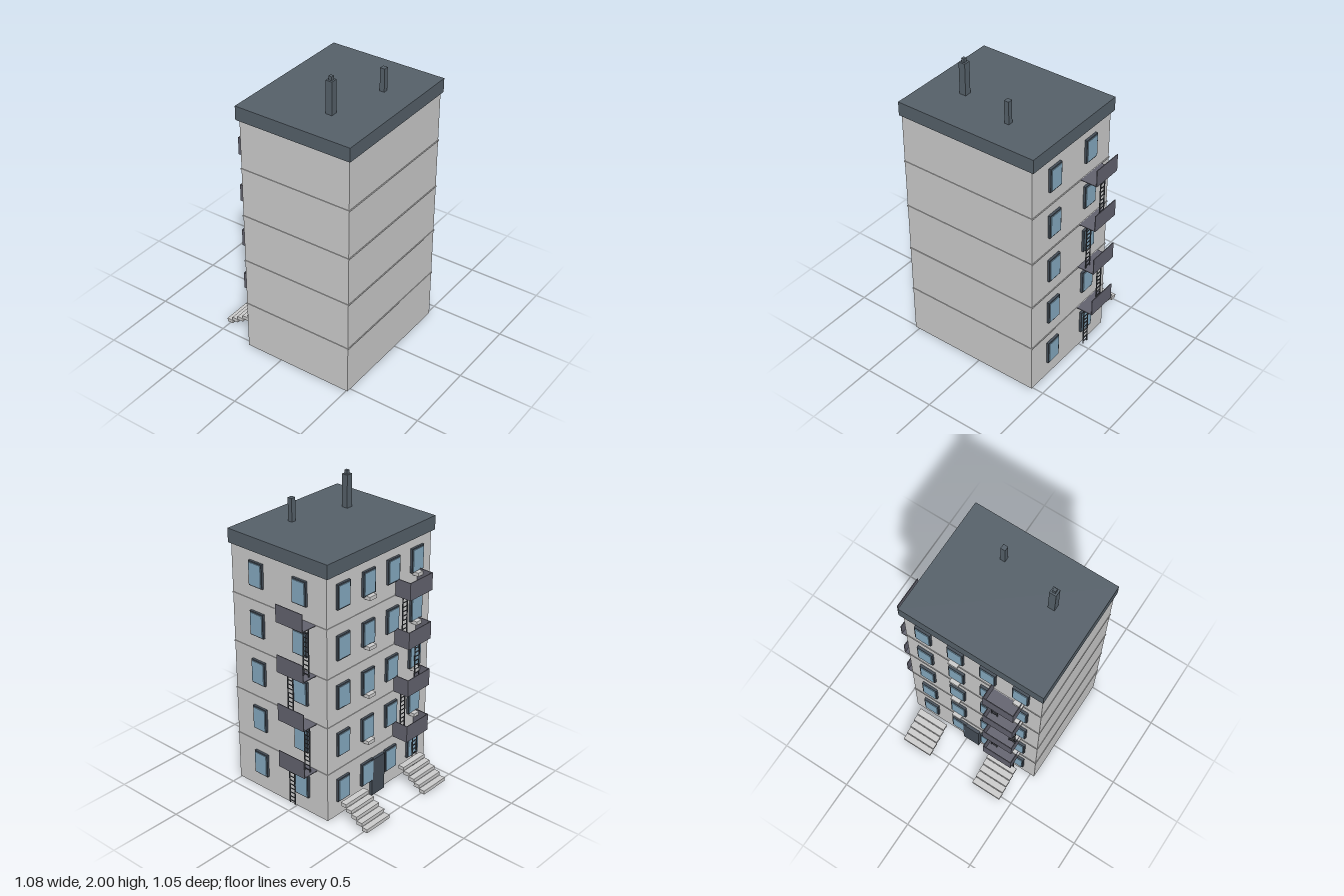
import * as THREE from 'three';

const mat = (color) => new THREE.MeshStandardMaterial({ color, flatShading: true });

export function createModel() {
  const model = new THREE.Group();
  model.name = 'apartmentBlock';
  const wall = mat(0xcccccc), roofMat = mat(0x556069), frameMat = mat(0x444d57);
  const glass = mat(0x85a9c0), balconyMat = mat(0x62626e), metal = mat(0x44484e);

  // Box given by its min and max on each axis
  function box(parent, name, m, x0, x1, y0, y1, z0, z1) {
    const mesh = new THREE.Mesh(new THREE.BoxGeometry(x1 - x0, y1 - y0, z1 - z0), m);
    mesh.position.set((x0 + x1) / 2, (y0 + y1) / 2, (z0 + z1) / 2);
    mesh.name = name;
    parent.add(mesh);
    return mesh;
  }

  const X0 = -0.53, X1 = 0.42, Z0 = -0.26, Z1 = 0.51;
  const FLOORS = 5, H = 0.3335;

  // Main block, floor bands and roof slab
  box(model, 'walls', wall, X0, X1, 0, 1.67, Z0, Z1);
  for (let i = 1; i < FLOORS; i++) {
    box(model, 'floorBand', wall, X0 - 0.004, X1 + 0.004, i * H - 0.002, i * H + 0.007, Z0 - 0.004, Z1 + 0.004);
  }
  box(model, 'roof', roofMat, -0.542, 0.436, 1.668, 1.76, -0.281, 0.521);

  // Chimneys
  box(model, 'chimney', roofMat, -0.313, -0.268, 1.76, 1.975, 0.193, 0.237);
  box(model, 'chimneyCap', roofMat, -0.301, -0.28, 1.975, 2, 0.204, 0.226);
  box(model, 'smallChimney', roofMat, 0.086, 0.118, 1.76, 1.912, 0.294, 0.326);

  // A facade frame: local x runs along the wall, local +z points outwards
  function facade(name, x, z, turn) {
    const g = new THREE.Group();
    g.name = name;
    g.position.set(x, 0, z);
    g.rotation.y = turn;
    model.add(g);
    return g;
  }
  const side = facade('sideFacade', X1, 0, Math.PI / 2); // local x = -z
  const back = facade('backFacade', 0, Z0, Math.PI); // local x = -x

  // Window: dark frame with a pane set on its face
  function addWindow(parent, u, floor) {
    const y = 0.19 + floor * 0.3325;
    const g = new THREE.Group();
    g.name = 'window';
    g.position.set(u, y, 0);
    parent.add(g);
    box(g, 'windowFrame', frameMat, -0.055, 0.055, -0.081, 0.081, -0.005, 0.016);
    box(g, 'windowPane', glass, -0.047, 0.047, -0.072, 0.072, 0, 0.021);
  }
  for (let f = 0; f < FLOORS; f++) {
    for (const u of [-0.3, 0.055]) addWindow(side, u, f);
    for (const u of [0.39, 0.165, -0.06, -0.285]) addWindow(back, u, f);
  }

  // Back door
  box(back, 'door', frameMat, -0.025, 0.097, 0, 0.265, -0.005, 0.021);

  // Small boxes under two columns of back windows
  for (let f = 1; f < FLOORS; f++) {
    for (const u of [0.39, -0.06]) {
      const y = 0.105 + f * 0.3325;
      box(back, 'airConditioner', wall, u - 0.032, u + 0.032, y - 0.016, y + 0.008, 0, 0.046);
    }
  }

  // Ladder with two rails and evenly spaced rungs
  function addLadder(parent, u, y0, y1) {
    const g = new THREE.Group();
    g.name = 'ladder';
    parent.add(g);
    for (const s of [-1, 1]) {
      box(g, 'ladderRail', metal, u + s * 0.021 - 0.003, u + s * 0.021 + 0.003, y0, y1, 0.043, 0.049);
    }
    for (let y = y0 + 0.02; y < y1; y += 0.03) {
      box(g, 'ladderRung', metal, u - 0.021, u + 0.021, y - 0.0025, y + 0.0025, 0.0435, 0.0485);
    }
  }

  // Balcony stack with a ladder leading up to each platform
  function addBalconies(parent, u, ends) {
    const w = 0.1065, d = 0.118, t = 0.005;
    for (let f = 1; f < FLOORS; f++) {
      const y = f * H + 0.002;
      const g = new THREE.Group();
      g.name = 'balcony';
      parent.add(g);
      box(g, 'balconyFloor', balconyMat, u - w, u + w, y, y + t, 0, d);
      box(g, 'balconyFront', balconyMat, u - w, u + w, y, y + 0.117, d - t, d);
      if (ends) {
        for (const s of [-1, 1]) {
          const e = u + s * (w - t / 2);
          box(g, 'balconyEnd', balconyMat, e - t / 2, e + t / 2, y, y + 0.117, 0, d - t);
        }
      }
      addLadder(parent, u + (f % 2 ? -0.066 : 0.066) * (ends ? -1 : 1), f === 1 ? 0.04 : y - H, y);
    }
  }
  addBalconies(side, 0.07, false);
  addBalconies(back, 0.303, true);

  // Two flights of separate steps behind the building
  for (const x of [-0.313, 0.247]) {
    for (let i = 0; i < 5; i++) {
      const z = -0.525 + i * 0.043;
      box(model, 'step', wall, x - 0.107, x + 0.107, i * 0.0265, i * 0.0265 + 0.025, z, z + 0.043);
    }
  }
  return model;
}
